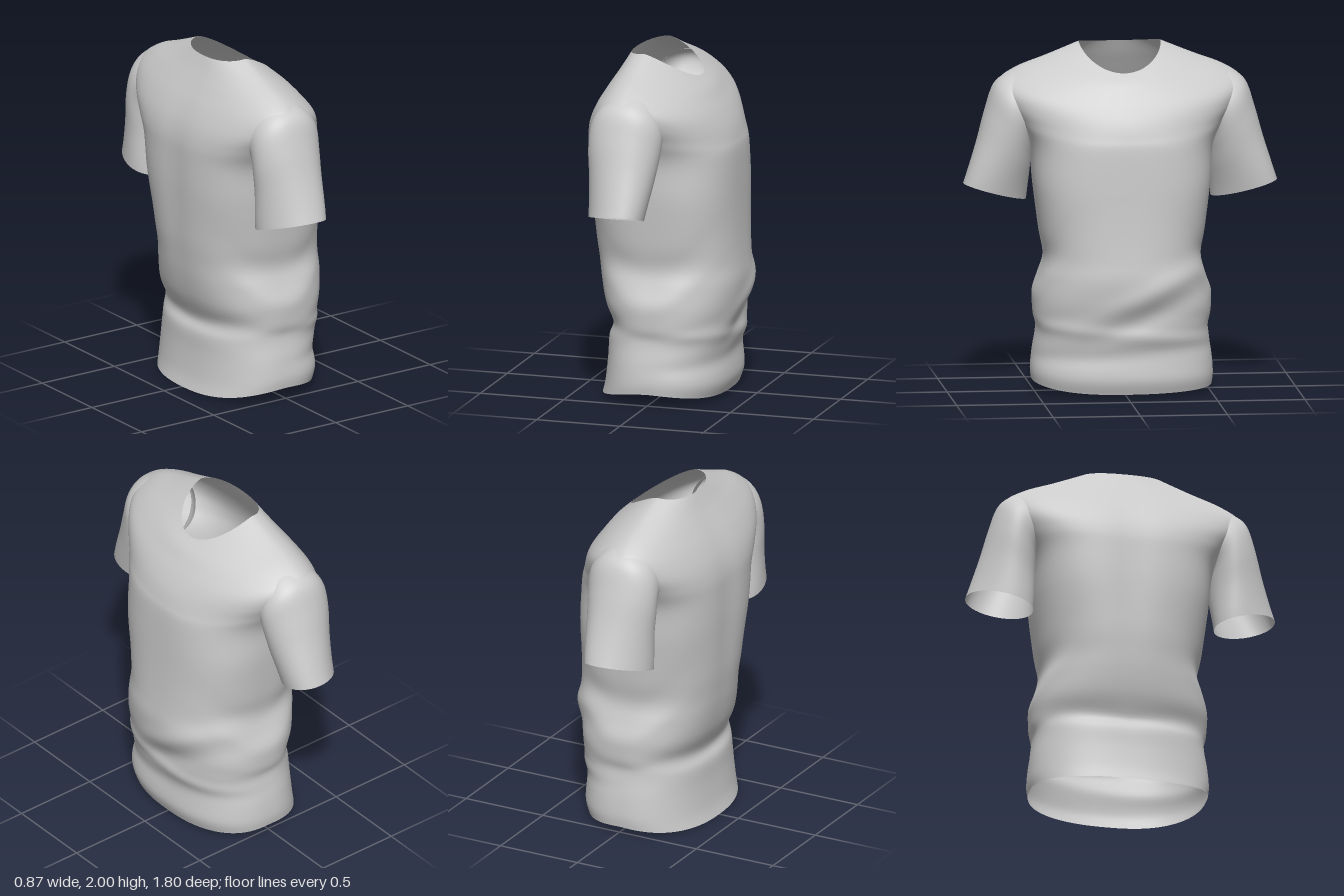
import * as THREE from 'three';

const SEG = 112;
const { smoothstep } = THREE.MathUtils;

// Catmull-Rom interpolation through rows of numbers
function refine(rows, steps) {
  const out = [], last = rows.length - 1;
  for (let i = 0; i < last; i++) {
    const [a, b, c, d] = [i - 1, i, i + 1, i + 2].map(k => rows[Math.min(last, Math.max(0, k))]);
    for (let s = 0; s < steps; s++) {
      const t = s / steps;
      out.push(b.map((v, k) => 0.5 * (2 * v + (c[k] - a[k]) * t
        + (2 * a[k] - 5 * v + 4 * c[k] - d[k]) * t * t
        + (3 * v - a[k] - 3 * c[k] + d[k]) * t * t * t)));
    }
  }
  out.push(rows[last]);
  return out;
}

// Smooth open skin through closed rings; point(row, angle) gives [x, y, z]
function loft(name, rows, point, material) {
  const pos = [], index = [];
  rows.forEach((row, i) => {
    for (let j = 0; j < SEG; j++) {
      pos.push(...point(row, j / SEG * Math.PI * 2));
      if (i === rows.length - 1) continue;
      const a = i * SEG + j, b = i * SEG + (j + 1) % SEG;
      index.push(a, a + SEG, b, b, a + SEG, b + SEG);
    }
  });
  const g = new THREE.BufferGeometry();
  g.setAttribute('position', new THREE.Float32BufferAttribute(pos, 3));
  g.setIndex(index);
  g.computeVertexNormals();
  const mesh = new THREE.Mesh(g, material);
  mesh.name = name;
  return mesh;
}

const power = (v, p) => Math.sign(v) * Math.abs(v) ** p;
const bump = (d, w) => Math.exp(-(d * d) / (w * w));

// Cloth folds: outward push for a torso point
function folds(x, y, z) {
  const front = smoothstep(x, -0.1, 0.25);
  const back = smoothstep(-x, 0, 0.3);
  const side = bump(x, 0.25);
  let d = 0;
  // diagonal and level folds across the belly
  d += front * 0.016 * bump(y - (0.55 - 0.45 * z), 0.07) * bump(z + 0.15, 0.32);
  d -= front * 0.016 * bump(y - (0.42 - 0.4 * z), 0.07) * bump(z + 0.15, 0.32);
  d += front * 0.008 * bump(y - 0.36 - 0.1 * z, 0.04);
  d -= front * 0.008 * bump(y - 0.25 + 0.08 * z, 0.05);
  // swags hanging at the flanks
  d += side * 0.010 * bump(y - (0.58 + 2 * x * x), 0.07);
  d -= side * 0.010 * bump(y - (0.74 + 2.2 * x * x), 0.09);
  d -= side * 0.008 * bump(y - (0.40 + 0.6 * x * x), 0.04);
  // pinch at the small of the back and the spine hollow
  d -= back * 0.008 * bump(y - 0.40 - 0.15 * Math.abs(z), 0.05);
  d -= back * 0.010 * bump(z, 0.1) * bump(y - 1.3, 0.5);
  return d;
}

// Torso point on a ring: boxy round the chest, rounder over the shoulders
function torsoPoint([yF, yS, yB, xF, xB, hz], a) {
  const c = Math.cos(a), s = Math.sin(a), front = c > 0;
  const cx = -0.1 * smoothstep(yS, 1.15, 1.75);
  const n = 2.4 + (front
    ? 0.2 * bump(yS - 1.2, 0.3) - 0.4 * smoothstep(yS, 1.4, 1.7)
    : 0.5 * bump(yS - 1.35, 0.3) - 0.2 * smoothstep(yS, 1.6, 1.85));
  const x = cx + power(c, 2 / n) * (front ? xF - cx : cx - xB);
  const z = power(s, 2 / n) * hz;
  const y = yS + ((front ? yF : yB) - yS) * Math.abs(c) ** 1.3;
  const d = folds(x, y, z) * smoothstep(y, 0.03, 0.2);
  // the hem hangs a little lower on the right
  const tilt = 0.03 * z * s * s * (1 - smoothstep(y, 0, 0.4));
  return [x + d * c, y + tilt, z + d * s];
}

export function createModel() {
  const shirt = new THREE.Group();
  shirt.name = 'shirt';
  const cloth = new THREE.MeshStandardMaterial({ color: 0xcccccc, side: THREE.DoubleSide });

  // Torso rings: y front, y side, y back, x front, x back, half width
  const torsoRows = refine([
    [0.02, 0.055, 0.00, 0.345, -0.375, 0.515],
    [0.10, 0.12, 0.08, 0.37, -0.355, 0.522],
    [0.22, 0.23, 0.22, 0.365, -0.34, 0.513],
    [0.35, 0.35, 0.34, 0.385, -0.335, 0.495],
    [0.44, 0.44, 0.42, 0.395, -0.315, 0.508],
    [0.56, 0.56, 0.56, 0.42, -0.36, 0.505],
    [0.68, 0.68, 0.68, 0.433, -0.387, 0.48],
    [0.80, 0.80, 0.80, 0.425, -0.405, 0.455],
    [0.95, 0.95, 0.95, 0.415, -0.422, 0.475],
    [1.20, 1.20, 1.20, 0.408, -0.437, 0.505],
    [1.42, 1.42, 1.42, 0.40, -0.438, 0.525],
    [1.50, 1.57, 1.53, 0.385, -0.432, 0.60],
    [1.58, 1.69, 1.63, 0.36, -0.408, 0.68],
    [1.66, 1.785, 1.73, 0.32, -0.365, 0.695],
    [1.73, 1.86, 1.82, 0.275, -0.315, 0.59],
    [1.795, 1.925, 1.90, 0.23, -0.27, 0.42],
    [1.85, 2.00, 1.98, 0.17, -0.23, 0.235],
  ], 6);
  shirt.add(loft('torso', torsoRows, torsoPoint, cloth));

  // Sleeve rings: outer z, outer y, inner z, inner y, x centre, half depth
  const sleeveRows = refine([
    [0.56, 1.845, 0.42, 1.52, -0.09, 0.17],
    [0.64, 1.825, 0.46, 1.48, -0.09, 0.20],
    [0.722, 1.762, 0.50, 1.44, -0.09, 0.213],
    [0.775, 1.61, 0.508, 1.38, -0.095, 0.208],
    [0.825, 1.43, 0.515, 1.26, -0.10, 0.19],
    [0.90, 1.195, 0.53, 1.09, -0.115, 0.166],
  ], 6);
  for (const side of [1, -1]) {
    shirt.add(loft(side > 0 ? 'leftSleeve' : 'rightSleeve', sleeveRows,
      ([oz, oy, iz, iy, cx, hx], a) => {
        const s = Math.sin(a), k = (1 + s) / 2;
        // the outer edge leans forward towards the cuff
        const lean = 0.05 * smoothstep(-oz, -0.9, -0.75);
        return [cx + (0.05 - lean) * s - side * hx * power(Math.cos(a), 0.95),
          iy + (oy - iy) * k, side * (iz + (oz - iz) * k)];
      }, cloth));
  }
  return shirt;
}
